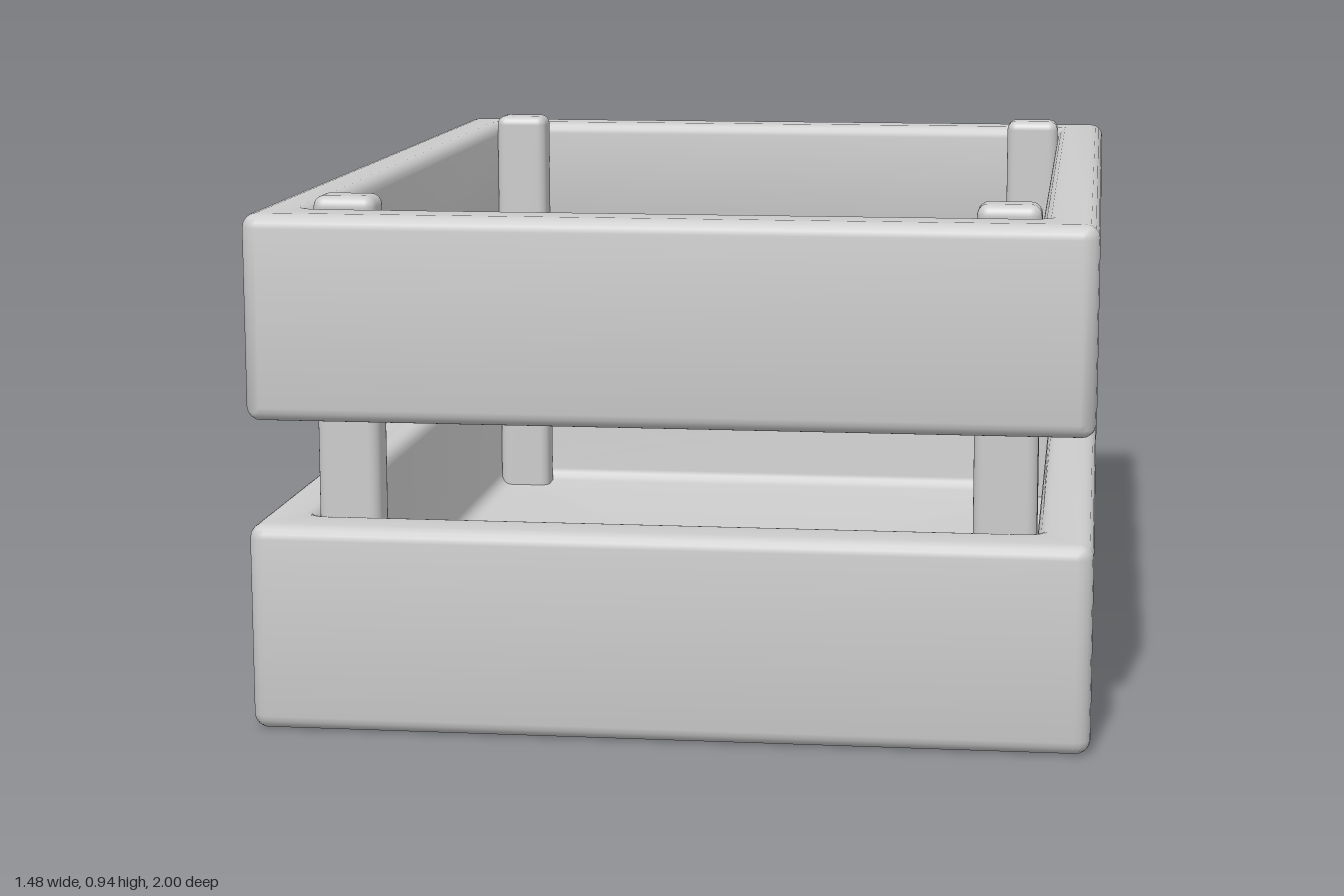
import * as THREE from 'three';
import { toCreasedNormals } from 'three/addons/utils/BufferGeometryUtils.js';
import { RoundedBoxGeometry } from 'three/addons/geometries/RoundedBoxGeometry.js';

const HX = 0.74, HZ = 1;        // outer half sizes
const IX = 0.64, IZ = 0.885;    // inner half sizes
const BEVEL = 0.025, STEPS = 4, CORNER = 4;

// One rounded-rectangle loop at height y
function ring([hx, hz, r, y]) {
  const points = [];
  for (let q = 0; q < 4; q++) {
    const sx = q === 0 || q === 3 ? 1 : -1, sz = q < 2 ? 1 : -1;
    for (let k = 0; k <= CORNER; k++) {
      const a = (q + k / CORNER) * Math.PI / 2;
      points.push([sx * (hx - r) + r * Math.cos(a), y, sz * (hz - r) + r * Math.sin(a)]);
    }
  }
  return points;
}

// Quarter-round edge: the loop at offset BEVEL * f(t) from the wall
function edge(hx, hz, r, y, offset, rise) {
  return Array.from({ length: STEPS + 1 }, (_, i) => {
    const t = i / STEPS * Math.PI / 2, o = offset(t) * BEVEL;
    return [hx + o, hz + o, Math.max(0.003, r + o), y + rise(t) * BEVEL];
  });
}

// Skin the loops; either close them into a frame or cap both ends into a tray
function skin(profile, closed) {
  const rings = profile.map(ring), n = rings[0].length, v = [];
  const tri = (...p) => p.forEach((q) => v.push(...q));
  const last = closed ? rings.length : rings.length - 1;
  for (let i = 0; i < last; i++) {
    const a = rings[i], b = rings[(i + 1) % rings.length];
    for (let j = 0; j < n; j++) {
      const k = (j + 1) % n;
      tri(a[j], b[j], a[k]);
      tri(a[k], b[j], b[k]);
    }
  }
  if (!closed) {
    const a = rings[0], b = rings[rings.length - 1];
    for (let j = 0; j < n; j++) {
      const k = (j + 1) % n;
      tri([0, a[0][1], 0], a[j], a[k]);
      tri([0, b[0][1], 0], b[k], b[j]);
    }
  }
  const geometry = new THREE.BufferGeometry();
  geometry.setAttribute('position', new THREE.Float32BufferAttribute(v, 3));
  return toCreasedNormals(geometry, 0.7);
}

export function createModel() {
  const group = new THREE.Group();
  const material = new THREE.MeshStandardMaterial({ color: 0xcccccc });
  const add = (name, geometry, x = 0, y = 0, z = 0) => {
    const mesh = new THREE.Mesh(geometry, material);
    mesh.name = name;
    mesh.position.set(x, y, z);
    group.add(mesh);
  };
  const { sin, cos } = Math;

  // Outer wall with both edges rounded, then over the inner top edge
  const wall = (y0, y1) => [
    ...edge(HX, HZ, 0.028, y0, (t) => sin(t) - 1, (t) => 1 - cos(t)),
    ...edge(HX, HZ, 0.028, y1, (t) => cos(t) - 1, (t) => sin(t) - 1),
    ...edge(IX, IZ, 0.02, y1, (t) => 1 - sin(t), (t) => cos(t) - 1),
  ];

  // Bottom tray, with a fillet where the walls meet the floor
  add('bottomTray', skin([
    ...wall(0, 0.37),
    ...edge(IX, IZ, 0.028, 0.08, (t) => cos(t) - 1, (t) => 1 - sin(t)),
  ], false));

  // Upper open frame
  add('upperFrame', skin([
    ...wall(0.555, 0.92),
    ...edge(IX, IZ, 0.02, 0.555, (t) => 1 - cos(t), (t) => 1 - sin(t)),
  ], true));

  // Four corner posts standing on the tray floor
  for (const sx of [1, -1]) {
    for (const sz of [1, -1]) {
      const name = (sz > 0 ? 'front' : 'back') + (sx > 0 ? 'Left' : 'Right') + 'Post';
      add(name, new RoundedBoxGeometry(0.112, 0.89, 0.082, 4, 0.02), sx * 0.584, 0.495, sz * 0.843);
    }
  }
  return group;
}
